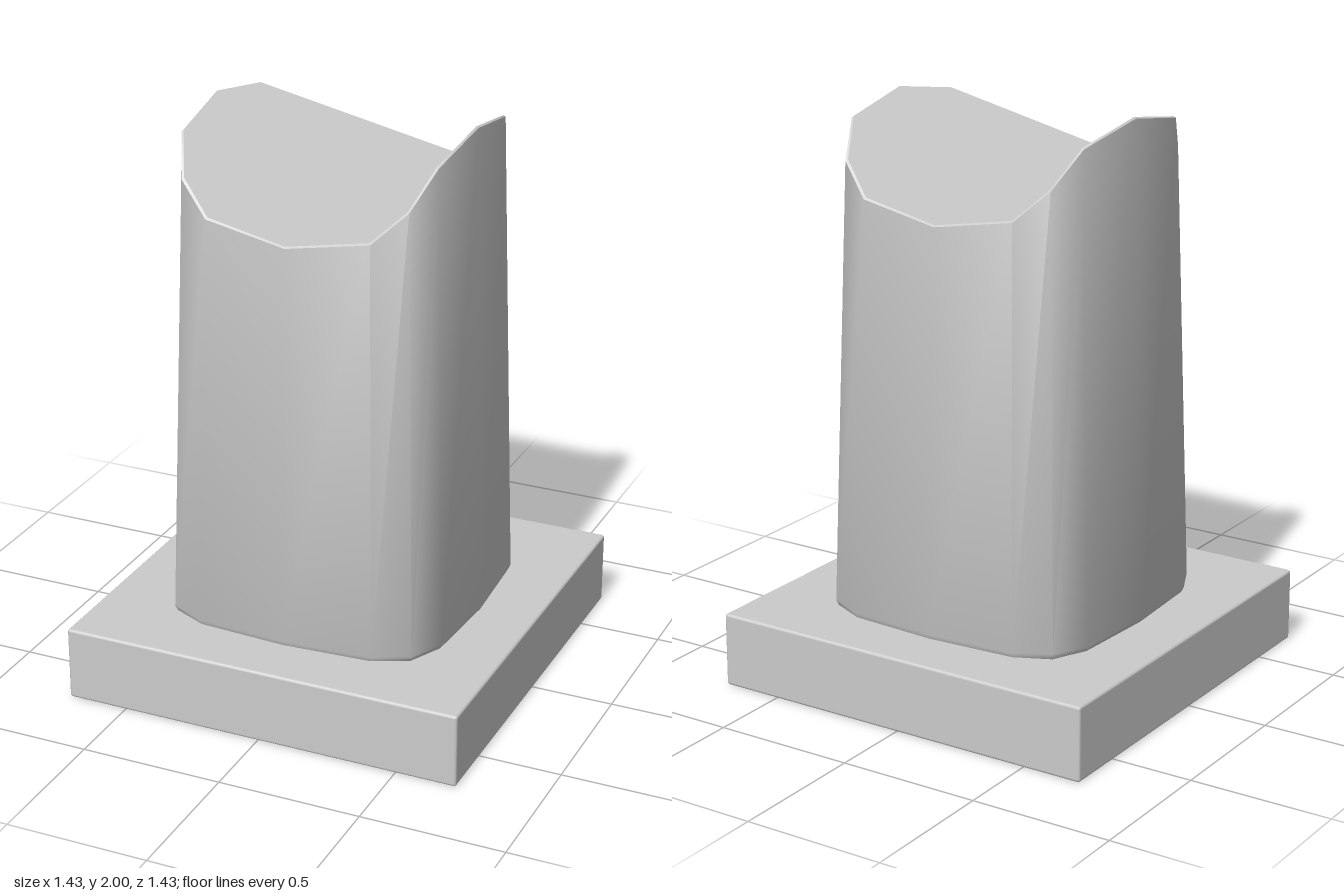
import * as THREE from 'three';
import { toCreasedNormals } from 'three/addons/utils/BufferGeometryUtils.js';
import { RoundedBoxGeometry } from 'three/addons/geometries/RoundedBoxGeometry.js';

const N = 16;
// One quarter of the rounded-square section, as [x, z]
const quarter = [[0.52, 0], [0.5, 0.32], [0.442, 0.442], [0.32, 0.5]];
// Rim heights from the side peak to the opposite peak (repeats once)
const rim = [2, 1.95, 1.83, 1.725, 1.675, 1.725, 1.83, 1.95];

// A full section turned from the quarter; heightAt gives y per corner
function ring(scale, heightAt) {
  const points = [];
  for (let q = 0; q < 4; q++) {
    for (const [x, z] of quarter) {
      const [rx, rz] = [[x, z], [-z, x], [-x, -z], [z, -x]][q];
      points.push([rx * scale, heightAt(points.length), rz * scale]);
    }
  }
  return points;
}

function geometryFrom(points, index) {
  const g = new THREE.BufferGeometry();
  g.setAttribute('position', new THREE.Float32BufferAttribute(points.flat(), 3));
  g.setIndex(index);
  g.computeVertexNormals();
  return g;
}

// Tapered wall lofted through the sections, with small bevels at both ends
function wallGeometry() {
  const rings = [
    ring(0.985, () => 0.262),
    ring(1, () => 0.28),
    ring(0.903, (i) => rim[i % 8] - 0.005),
    ring(0.889, (i) => rim[i % 8]),
  ];
  const index = [];
  for (let r = 0; r < rings.length - 1; r++) {
    for (let i = 0; i < N; i++) {
      const a = r * N + i;
      const b = r * N + ((i + 1) % N);
      index.push(a, a + N, b, b, a + N, b + N);
    }
  }
  return toCreasedNormals(geometryFrom(rings.flat(), index), 0.8);
}

// Folded saddle cap: two fans per half, the second half turned by 180 degrees
function capGeometry() {
  const half = [[5, 6, 7], [5, 7, 8], [5, 8, 9], [5, 9, 1], [1, 2, 3], [1, 3, 4], [1, 4, 5]];
  const index = [];
  for (const turn of [0, 8]) {
    for (const [a, b, c] of half) {
      index.push((a + turn) % N, (c + turn) % N, (b + turn) % N);
    }
  }
  const g = geometryFrom(ring(0.889, (i) => rim[i % 8]), index);
  // The cap is shaded as a single upward face
  const n = g.attributes.normal;
  for (let i = 0; i < n.count; i++) n.setXYZ(i, 0, 1, 0);
  return g;
}

export function createModel() {
  const model = new THREE.Group();
  model.name = 'pedestal';
  const material = new THREE.MeshStandardMaterial({ color: 0xcccccc, side: THREE.DoubleSide });

  const add = (name, geometry) => {
    const mesh = new THREE.Mesh(geometry, material);
    mesh.name = name;
    model.add(mesh);
    return mesh;
  };

  // Square plinth with slightly eased edges
  add('plinth', new RoundedBoxGeometry(1.43, 0.262, 1.43, 2, 0.01)).position.y = 0.131;
  add('shaftWall', wallGeometry());
  add('saddleCap', capGeometry());
  return model;
}
